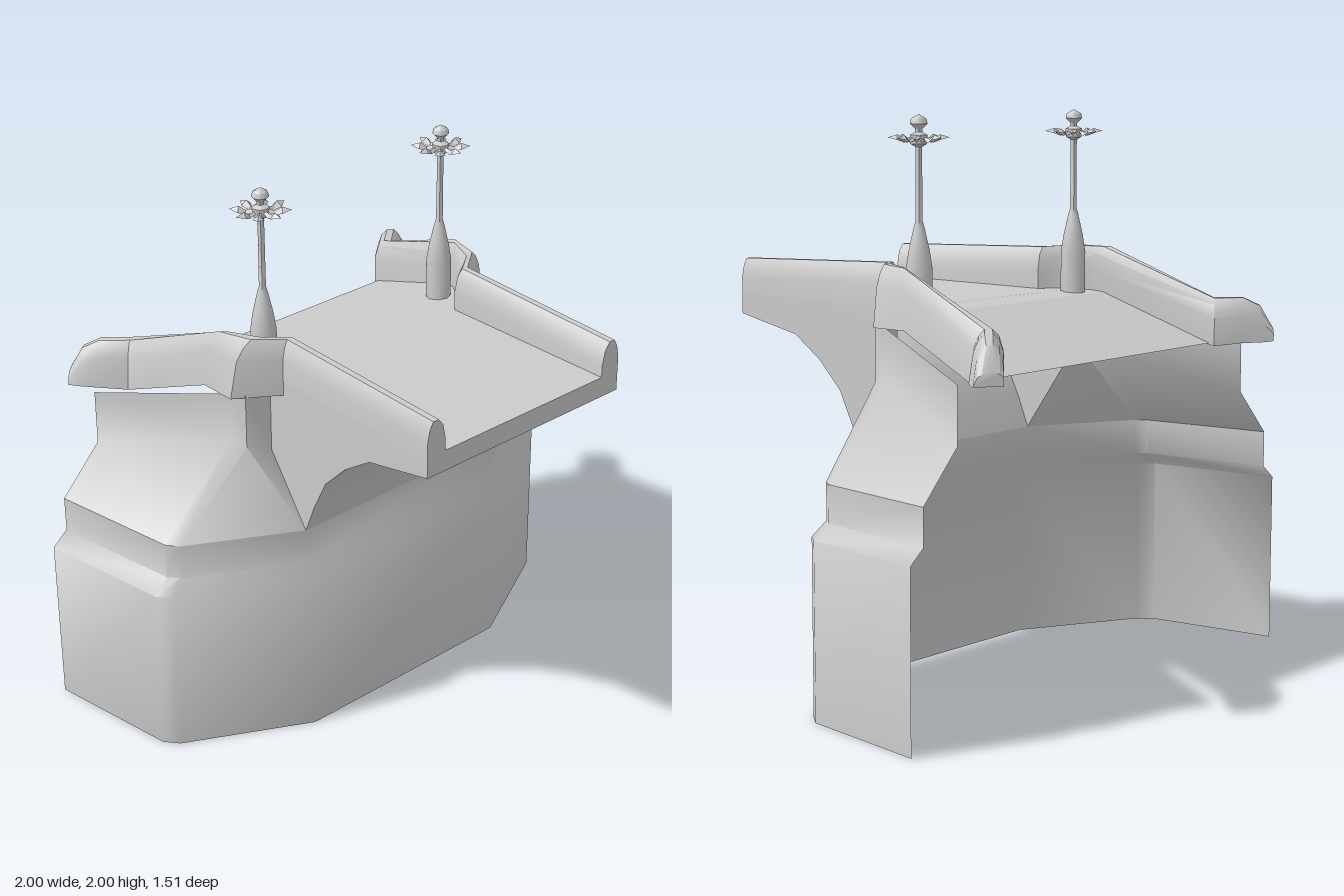
import * as THREE from 'three';
import { toCreasedNormals } from 'three/addons/utils/BufferGeometryUtils.js';

const mat = new THREE.MeshStandardMaterial({ color: 0xcccccc, side: THREE.DoubleSide });

function mesh(name, geometry, parent) {
  const m = new THREE.Mesh(geometry, mat);
  m.name = name;
  parent.add(m);
  return m;
}

// Skin a list of equal-length rows of [x, y, z] points; optional end caps
function loft(rows, caps = false) {
  const n = rows[0].length, index = [];
  for (let i = 0; i < rows.length - 1; i++)
    for (let j = 0; j < n - 1; j++) {
      const a = i * n + j, b = a + n;
      index.push(a, a + 1, b, a + 1, b + 1, b);
    }
  if (caps) {
    const e = (rows.length - 1) * n;
    for (let j = 1; j < n - 1; j++) index.push(0, j + 1, j, e, e + j, e + j + 1);
  }
  const g = new THREE.BufferGeometry();
  g.setAttribute('position', new THREE.Float32BufferAttribute(rows.flat(2), 3));
  g.setIndex(index);
  g.computeVertexNormals();
  return g;
}

const flip = (p) => [-p[0], p[1], p[2]];
// Complete a half row (left back to front centre) with its mirror image
const mirrorRow = (row) => [...row, ...[...row].reverse().map(flip)];

// Underside of the overhanging span, as [z, y]
const arch = [[0.155, 0.8], [0.2, 0.91], [0.26, 1.03], [0.36, 1.13], [0.48, 1.21], [0.755, 1.265]];

function addBody(group) {
  const lower = (y, plan) => plan.map(([x, z]) => [x, y, z]);
  const wide = [[1, -0.59], [0.93, -0.09], [0.89, -0.04], [0.45, 0.19]];
  const inset = [[0.94, -0.59], [0.87, -0.1], [0.84, -0.06], [0.45, 0.155]];
  const rows = [lower(0, wide), lower(0.62, wide), lower(0.67, inset), lower(0.8, inset)];
  mesh('abutmentWall', toCreasedNormals(loft(rows.map(mirrorRow)), 0.9), group);

  // Sloping shoulder and upright upper wall on each side
  const shoulder = [
    rows[3],
    [[0.78, 0.97, -0.59], [0.575, 1.12, -0.08], [0.56, 1.1, -0.02], [0.45, 1.05, -0.02]],
    [[0.78, 1.17, -0.59], [0.575, 1.29, -0.08], [0.56, 1.3, -0.02], [0.45, 1.3, -0.02]],
  ];
  for (const left of [true, false]) {
    const r = left ? shoulder : shoulder.map((row) => row.map(flip));
    mesh(left ? 'leftShoulder' : 'rightShoulder', toCreasedNormals(loft(r), 0.9), group);
  }
}

function addSpan(group) {
  // Curved underside and front edge
  const edge = [...arch, [0.755, 1.34]];
  const rows = edge.map(([z, y]) => [[-0.45, y, z], [0.45, y, z]]);
  mesh('archUnderside', toCreasedNormals(loft(rows), 0.7), group);

  // Flat side panels
  const pts = [...edge, [-0.02, 1.34], [-0.02, 1.05]].map(([z, y]) => new THREE.Vector2(z, y));
  for (const s of [1, -1]) {
    const panel = mesh(s > 0 ? 'leftSpanSide' : 'rightSpanSide',
      new THREE.ShapeGeometry(new THREE.Shape(pts)).rotateY(-Math.PI / 2), group);
    panel.position.x = s * 0.45;
  }

  // Road surface, dropping behind the posts: [half width, y, z]
  const road = [[0.44, 1.34, 0.755], [0.44, 1.34, 0.04], [0.52, 1.34, -0.05],
    [0.55, 1.33, -0.15], [0.6, 1.17, -0.59]];
  mesh('deck', toCreasedNormals(loft(road.map(([w, y, z]) => [[w, y, z], [-w, y, z]])), 0.1), group);
}

function addParapet(group, s) {
  // Stations: outer x, z, inner x, z, bottom y, top y
  const stations = [
    [0.45, 0.755, 0.37, 0.755, 1.265, 1.465],
    [0.45, 0.05, 0.37, 0.04, 1.29, 1.493],
    [0.6, -0.05, 0.43, 0.0, 1.29, 1.498],
    [0.6, -0.19, 0.51, -0.11, 1.29, 1.495],
    [0.67, -0.54, 0.58, -0.61, 1.16, 1.33],
    [0.75, -0.61, 0.66, -0.68, 1.17, 1.33],
    [0.79, -0.66, 0.71, -0.72, 1.17, 1.3],
    [0.82, -0.69, 0.745, -0.755, 1.175, 1.22],
  ];
  const section = [[0, 0], [0, 0.65], [0.12, 0.87], [0.3, 1], [0.6, 1], [0.85, 0.87], [1, 0.6], [1, 0], [0, 0]];
  const rows = stations.map(([ox, oz, ix, iz, yb, yt], i) => section.map(([t, h]) => {
    // the wing leans inward on its outer face
    const u = i > 1 ? t + (1 - t) * 0.22 * h : t;
    return [s * (ox + (ix - ox) * u), yb + (yt - yb) * h, oz + (iz - oz) * u];
  }));
  mesh(s > 0 ? 'leftParapet' : 'rightParapet', toCreasedNormals(loft(rows, true), 0.6), group);
}

function addLampPost(group, s) {
  const post = new THREE.Group();
  post.name = s > 0 ? 'leftPost' : 'rightPost';
  post.position.set(s * 0.415, 0, -0.09);
  const profile = [[0.045, 1.33], [0.045, 1.48], [0.036, 1.54], [0.018, 1.62], [0.012, 1.64], [0.011, 1.89],
    [0.028, 1.9], [0.03, 1.93], [0.012, 1.94], [0.012, 1.95], [0.03, 1.968], [0.026, 1.985], [0, 2]];
  mesh('shaft', toCreasedNormals(
    new THREE.LatheGeometry(profile.map(([r, y]) => new THREE.Vector2(r, y)), 8), 0.9), post);

  // Crown of eight folded petals
  const petal = toCreasedNormals(loft([
    [[0.02, 1.915, -0.008], [0.02, 1.925, 0], [0.02, 1.915, 0.008]],
    [[0.05, 1.905, -0.008], [0.05, 1.918, 0], [0.05, 1.905, 0.008]],
    [[0.075, 1.915, -0.02], [0.072, 1.932, 0], [0.075, 1.915, 0.02]],
    [[0.105, 1.922, 0], [0.105, 1.922, 0], [0.105, 1.922, 0]],
  ]), 0.3);
  for (let i = 0; i < 8; i++) mesh('petal', petal, post).rotation.y = (i * Math.PI) / 4;
  group.add(post);
}

export function createModel() {
  const group = new THREE.Group();
  group.name = 'bridgeAbutment';
  addBody(group);
  addSpan(group);
  for (const s of [1, -1]) {
    addParapet(group, s);
    addLampPost(group, s);
  }
  return group;
}
